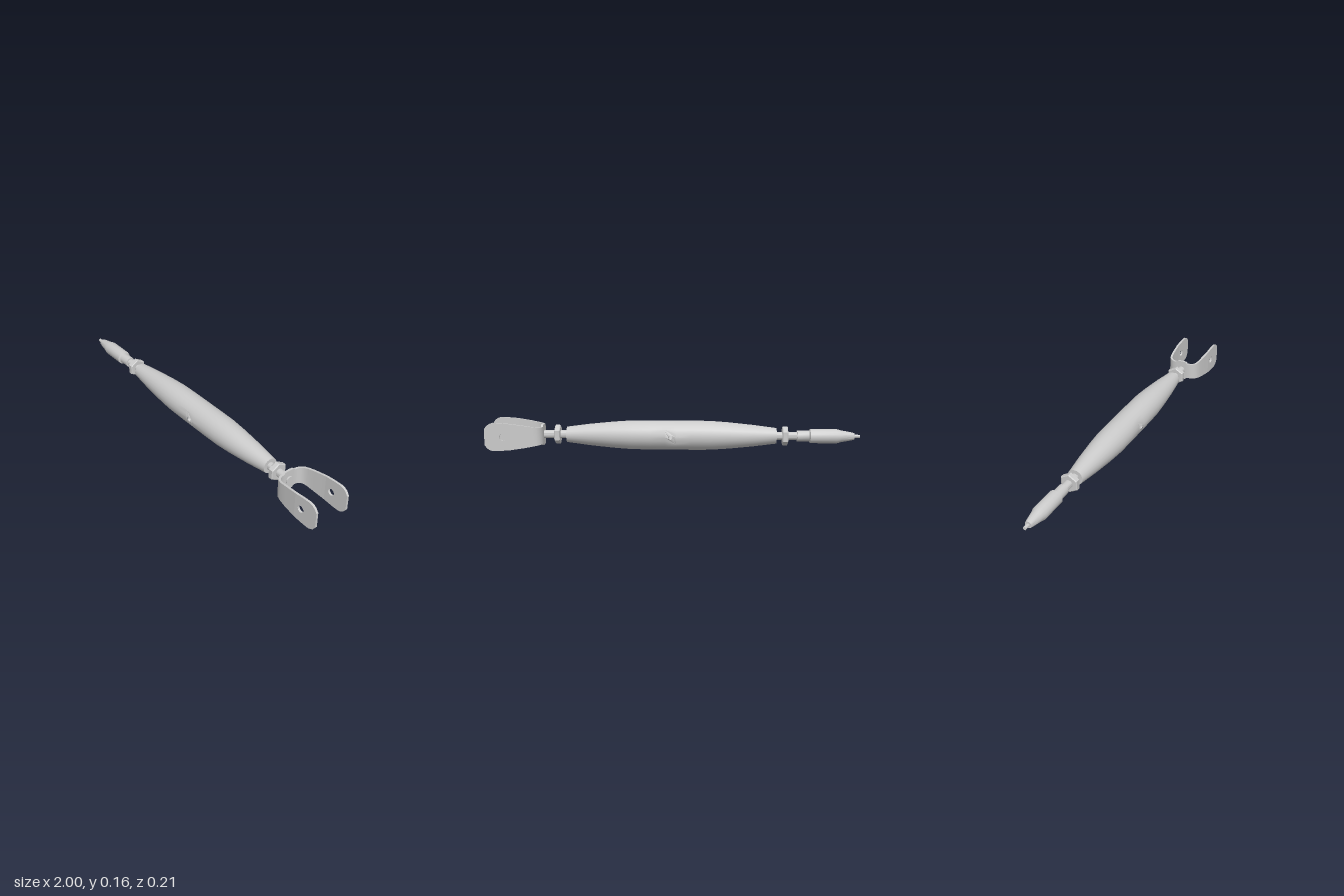
import * as THREE from 'three';
import { mergeGeometries, toCreasedNormals } from 'three/addons/utils/BufferGeometryUtils.js';

const AXIS_Y = 0.082;
const material = new THREE.MeshStandardMaterial({ color: 0xcccccc });
const doubleSided = new THREE.MeshStandardMaterial({ color: 0xcccccc, side: THREE.DoubleSide });

// Turned profile of [x, radius] pairs, running from -x to +x
function lathe(profile, sides, phiStart = 0, phiLength = Math.PI * 2) {
  const points = profile.map(([x, r]) => new THREE.Vector2(r, x));
  return new THREE.LatheGeometry(points, sides, phiStart, phiLength);
}

function addPart(group, name, geometry, mat = material, crease = 0.5) {
  const mesh = new THREE.Mesh(toCreasedNormals(geometry, crease), mat);
  mesh.name = name;
  group.add(mesh);
  return mesh;
}

function addTurned(group, name, geometry, mat, crease) {
  return addPart(group, name, geometry.rotateZ(-Math.PI / 2), mat, crease);
}

// Barrel with a round cross hole; the hole patches are wrapped onto the surface
const R = 0.079, HOLE_X = 0.01, HALF = 0.03, HOLE_R = 0.012, GAP = Math.PI / 6;

function holePatch(turn) {
  const shape = new THREE.Shape();
  const steps = 4;
  for (let i = 0; i <= steps; i++) {
    const u = R * GAP * (2 * i / steps - 1);
    if (i === 0) shape.moveTo(u, -HALF); else shape.lineTo(u, -HALF);
  }
  for (let i = steps; i >= 0; i--) shape.lineTo(R * GAP * (2 * i / steps - 1), HALF);
  shape.holes.push(new THREE.Path().absarc(0, 0, HOLE_R, 0, Math.PI * 2, true));
  const geometry = new THREE.ShapeGeometry(shape, 8);
  const p = geometry.attributes.position;
  for (let i = 0; i < p.count; i++) {
    const angle = p.getX(i) / R + turn;
    p.setXYZ(i, R * Math.sin(angle), p.getY(i) + HOLE_X, R * Math.cos(angle));
  }
  return geometry;
}

function barrelGeometry() {
  const left = HOLE_X - HALF, right = HOLE_X + HALF;
  const band = [[left, R], [right, R]];
  return mergeGeometries([
    lathe([[-0.555, 0], [-0.555, 0.042], [-0.43, 0.058], [-0.3, 0.071], [-0.2, 0.078], [-0.1, R], [left, R]], 24),
    lathe([[right, R], [0.12, R], [0.22, 0.078], [0.32, 0.071], [0.45, 0.058], [0.572, 0.042], [0.572, 0]], 24),
    lathe(band, 8, GAP, Math.PI - 2 * GAP),
    lathe(band, 8, Math.PI + GAP, Math.PI - 2 * GAP),
    holePatch(0),
    holePatch(Math.PI),
  ]);
}

// Bent yoke strip: rectangular sections [x, z, half height] swept round the U
const THICK = 0.012;
function yokeStripGeometry() {
  const half = [
    [0.703, 0.025, 0.056], [0.703, 0.036, 0.046], [0.706, 0.055, 0.046], [0.714, 0.07, 0.047],
    [0.727, 0.081, 0.049], [0.75, 0.088, 0.053], [0.79, 0.093, 0.06], [0.86, 0.099, 0.07],
  ];
  const path = [...half.map(([x, z, h]) => [x, -z, h]).reverse(), [0.703, 0, 0.057], ...half];
  const positions = [], index = [];
  path.forEach(([x, z, h], i) => {
    const a = path[Math.max(i - 1, 0)], b = path[Math.min(i + 1, path.length - 1)];
    const end = i === 0 || i === path.length - 1;
    const dx = end ? 0 : b[0] - a[0], dz = b[1] - a[1];
    const len = Math.hypot(dx, dz);
    const nx = end ? 0 : (dz / len) * THICK / 2;
    const nz = end ? Math.sign(z) * -THICK / 2 : (-dx / len) * THICK / 2;
    // n points to the inside of the U
    positions.push(x + nx, h, z + nz, x + nx, -h, z + nz, x - nx, -h, z - nz, x - nx, h, z - nz);
    if (i === 0) return;
    for (let k = 0; k < 4; k++) {
      const p = (i - 1) * 4 + k, q = (i - 1) * 4 + (k + 1) % 4;
      index.push(p, p + 4, q, q, p + 4, q + 4);
    }
  });
  const geometry = new THREE.BufferGeometry();
  geometry.setAttribute('position', new THREE.Float32BufferAttribute(positions, 3));
  geometry.setIndex(index);
  geometry.computeVertexNormals();
  return geometry;
}

// Flat end of a yoke arm with its pin hole
function yokeArmGeometry() {
  const edge = [[0.86, 0.07], [0.92, 0.075], [0.955, 0.076], [0.972, 0.071], [0.987, 0.061], [1, 0.042]];
  const outline = [...edge.map(([x, y]) => [x, -y]), ...edge.slice().reverse()];
  const shape = new THREE.Shape(outline.map(([x, y]) => new THREE.Vector2(x, y)));
  shape.holes.push(new THREE.Path().absarc(0.9, 0, 0.019, 0, Math.PI * 2, true));
  return new THREE.ExtrudeGeometry(shape, { depth: THICK, bevelEnabled: false, curveSegments: 8 })
    .translate(0, 0, -THICK / 2);
}

export function createModel() {
  const model = new THREE.Group();
  model.name = 'turnbuckle';
  const assembly = new THREE.Group();
  assembly.name = 'assembly';
  assembly.position.y = AXIS_Y;
  model.add(assembly);

  addTurned(assembly, 'barrel', barrelGeometry());

  // Lining of the cross hole
  const lining = new THREE.CylinderGeometry(HOLE_R, HOLE_R, R * 1.97, 16, 1, true);
  addPart(assembly, 'crossHole', lining.rotateX(Math.PI / 2), doubleSided).position.x = HOLE_X;

  // Threaded rods and hexagonal lock nuts
  for (const [name, from, to] of [['leftRod', 0.55, 0.717], ['rightRod', -0.68, -0.55]]) {
    addTurned(assembly, name, lathe([[from, 0], [from, 0.022], [to, 0.022], [to, 0]], 16));
  }
  for (const [name, x] of [['leftNut', 0.622], ['rightNut', -0.601]]) {
    const nut = lathe([[-0.015, 0], [-0.015, 0.047], [-0.011, 0.052], [0.011, 0.052], [0.015, 0.047], [0.015, 0]],
      6, Math.PI / 2);
    addTurned(assembly, name, nut, material, 0.2).position.x = x;
  }

  // Swaged terminal with the cable stub
  addTurned(assembly, 'swageTerminal', lathe([
    [-0.97, 0], [-0.97, 0.018], [-0.955, 0.022], [-0.9, 0.032], [-0.875, 0.039], [-0.735, 0.039],
    [-0.73, 0.029], [-0.665, 0.029], [-0.665, 0],
  ], 16));
  addTurned(assembly, 'cable', lathe([[-1, 0], [-1, 0.009], [-0.96, 0.009], [-0.96, 0]], 12, 0, Math.PI * 2), material, 0.7);

  // Fork yoke
  const yoke = new THREE.Group();
  yoke.name = 'yoke';
  assembly.add(yoke);
  addPart(yoke, 'yokeBend', yokeStripGeometry(), doubleSided, 0.6);
  for (const side of [1, -1]) {
    addPart(yoke, side > 0 ? 'frontArm' : 'backArm', yokeArmGeometry(), material, 0.6).position.z = side * 0.099;
  }
  return model;
}
